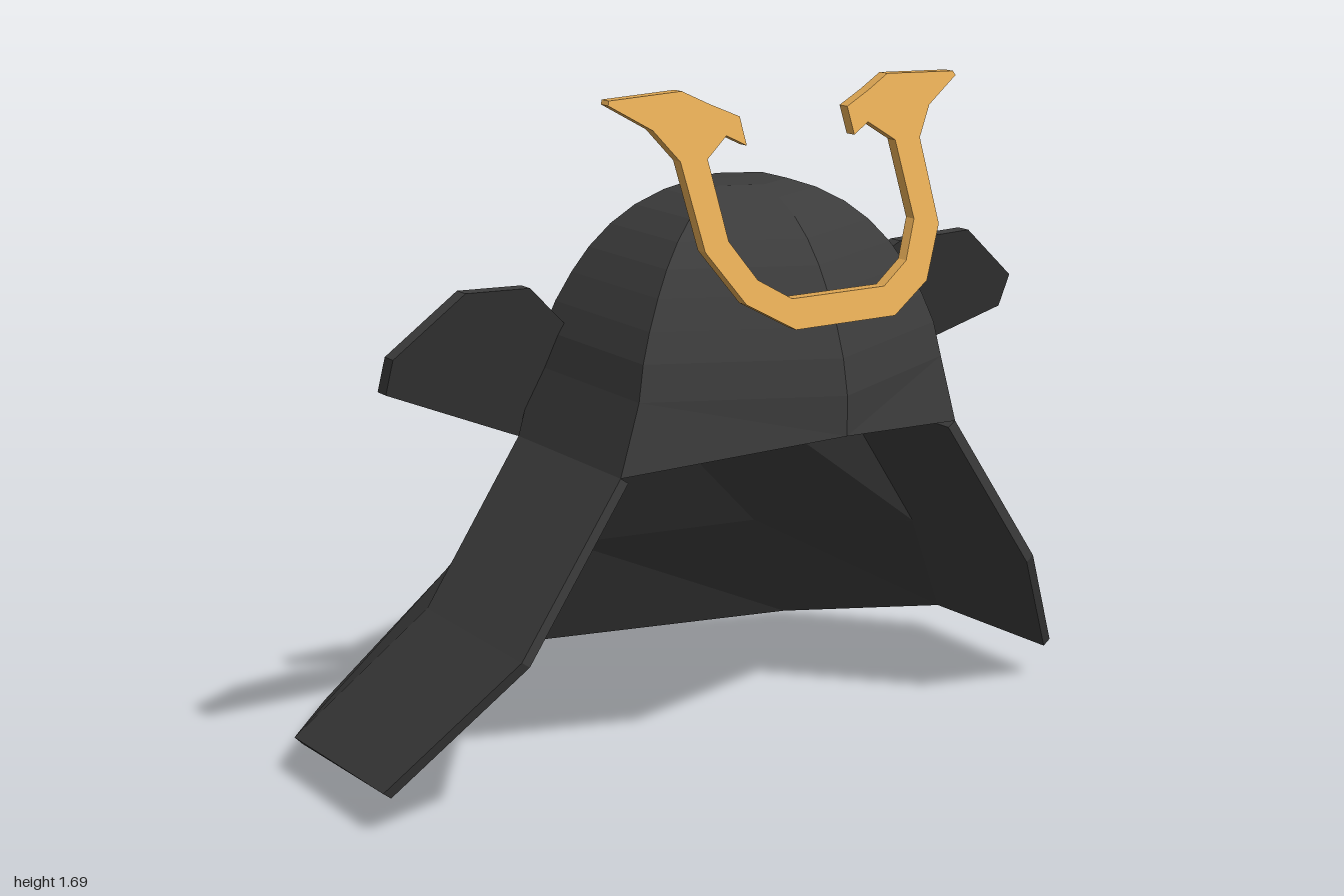
import * as THREE from 'three';

const dark = new THREE.MeshStandardMaterial({ color: 0x3c3c3c, flatShading: true, side: THREE.DoubleSide });
const gold = new THREE.MeshStandardMaterial({ color: 0xdca552, flatShading: true });

// Skin over rings of points (top to bottom, each running from +x round the back to -x);
// a thickness adds an inner skin and closes the open rims.
function skin(rings, closed, thickness = 0) {
  const cols = rings[0].length, rows = rings.length, count = cols * rows;
  const points = rings.flat(2), index = [];
  const at = (i, j) => i * cols + (j % cols);
  const steps = closed ? cols : cols - 1;
  for (let i = 0; i < rows - 1; i++) {
    for (let j = 0; j < steps; j++) {
      const a = at(i, j), b = at(i, j + 1), c = at(i + 1, j), d = at(i + 1, j + 1);
      // diagonals are mirrored left to right
      if (j < steps / 2) index.push(a, c, b, b, c, d);
      else index.push(a, c, d, a, d, b);
    }
  }
  const geometry = new THREE.BufferGeometry();
  geometry.setAttribute('position', new THREE.Float32BufferAttribute(points, 3));
  geometry.setIndex(index);
  geometry.computeVertexNormals();
  if (!thickness) return geometry;

  const normals = geometry.attributes.normal.array;
  const inner = points.map((p, k) => p - normals[k] * thickness);
  const all = [...index];
  for (let k = 0; k < index.length; k += 3) {
    all.push(index[k] + count, index[k + 2] + count, index[k + 1] + count);
  }
  const rim = (a, b) => all.push(a, a + count, b, b, a + count, b + count);
  for (let j = 0; j < cols - 1; j++) {
    rim(at(rows - 1, j), at(rows - 1, j + 1));
    rim(at(0, j + 1), at(0, j));
  }
  for (let i = 0; i < rows - 1; i++) {
    rim(at(i, 0), at(i + 1, 0));
    rim(at(i + 1, cols - 1), at(i, cols - 1));
  }
  const shell = new THREE.BufferGeometry();
  shell.setAttribute('position', new THREE.Float32BufferAttribute([...points, ...inner], 3));
  shell.setIndex(all);
  shell.computeVertexNormals();
  return shell;
}

// Flat plate cut from an outline, then sheared so that z follows depthAt(x, y)
function plate(outline, thickness, depthAt) {
  const shape = new THREE.Shape(outline.map(([x, y]) => new THREE.Vector2(x, y)));
  const geometry = new THREE.ExtrudeGeometry(shape, { depth: thickness, bevelEnabled: false });
  const p = geometry.attributes.position;
  for (let i = 0; i < p.count; i++) {
    p.setZ(i, p.getZ(i) - thickness / 2 + depthAt(p.getX(i), p.getY(i)));
  }
  geometry.computeVertexNormals();
  return geometry;
}

// Half a ring, completed by its mirror image
const mirrorRing = (half) => [...half, ...half.slice(0, -1).reverse().map(([x, y, z]) => [-x, y, z])];

export function createModel() {
  const model = new THREE.Group();
  const add = (name, geometry, material, parent = model) => {
    const mesh = new THREE.Mesh(geometry, material);
    mesh.name = name;
    parent.add(mesh);
    return mesh;
  };

  // Six-sided bowl with a peaked front edge
  const midZ = 0.287;
  const hexagon = [[0, 0.437], [0.435, 0.233], [0.435, -0.228], [0, -0.437], [-0.435, -0.228], [-0.435, 0.233]];
  const profile = [[0, 1.445], [0.23, 1.442], [0.37, 1.42], [0.51, 1.385], [0.63, 1.34], [0.735, 1.285],
    [0.82, 1.225], [0.9, 1.155], [0.96, 1.085], [1, 1.0]];
  const bowlRings = profile.map(([s, y]) => hexagon.map(([x, z]) => [x * s, y, midZ + z * s]));
  bowlRings.push([[0, 0.905, 0.725], [0.485, 0.83, 0.52], [0.485, 0.83, 0.06],
    [0, 0.83, -0.21], [-0.485, 0.83, 0.06], [-0.485, 0.83, 0.52]]);
  add('helmetBowl', skin(bowlRings, true), dark);

  // Flared guard round the sides and back
  const guardRings = [
    [[0.485, 0.83, 0.52], [0.485, 0.83, 0.06], [0.245, 0.83, -0.08], [0, 0.83, -0.21]],
    [[0.75, 0.44, 0.52], [0.74, 0.44, 0.055], [0.48, 0.39, -0.33], [0, 0.35, -0.53]],
    [[1, 0.11, 0.31], [1, 0.1, -0.155], [0.73, 0.025, -0.54], [0, 0.015, -0.73]],
  ].map(mirrorRing);
  add('neckGuard', skin(guardRings, false, 0.025), dark);

  // Side wings, leaning forward and swept back to the bowl
  const wingOutline = [[0.37, 0.78], [0.49, 0.83], [0.9, 1.01], [0.9, 1.1], [0.73, 1.24], [0.54, 1.225], [0.39, 1.1]];
  const wing = plate(wingOutline, 0.04, (x, y) => -0.426 + 0.156 * x + 0.44 * y);
  add('leftWing', wing, dark);
  add('rightWing', wing, dark).scale.x = -1;

  // Horned crest, leaning back over the bowl
  const crestHalf = [[0.14, 1.17], [0.255, 1.235], [0.33, 1.353], [0.338, 1.545], [0.39, 1.615], [0.49, 1.675],
    [0.485, 1.685], [0.29, 1.692], [0.225, 1.66], [0.152, 1.628], [0.152, 1.565], [0.2, 1.59],
    [0.265, 1.545], [0.262, 1.37], [0.21, 1.283], [0.13, 1.235]];
  const crestOutline = [...crestHalf, ...crestHalf.map(([x, y]) => [-x, y]).reverse()];
  add('frontCrest', plate(crestOutline, 0.03, (x, y) => 0.7 - 0.46 * (y - 1.17)), gold);

  return model;
}
